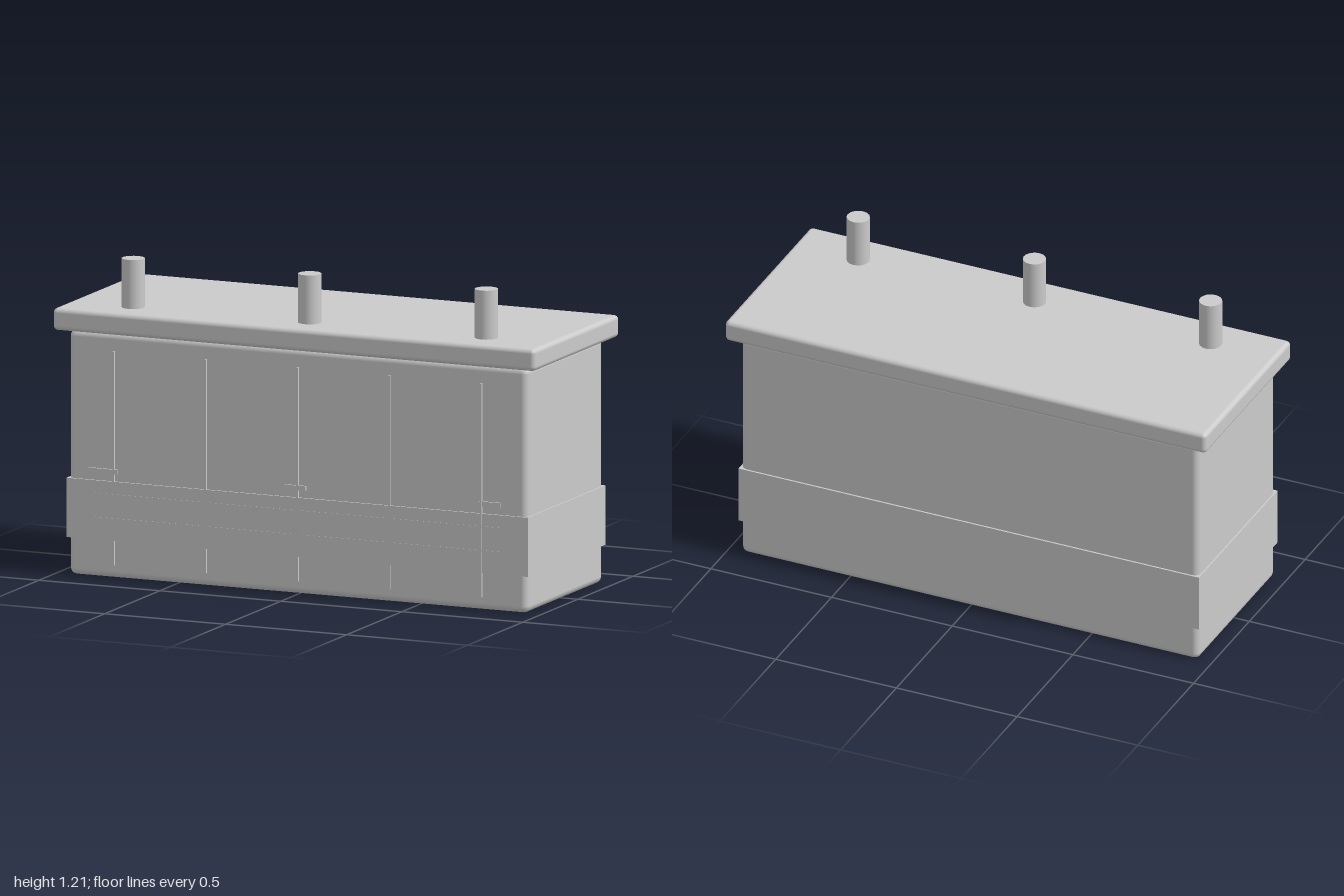
import * as THREE from 'three';
import { RoundedBoxGeometry } from 'three/addons/geometries/RoundedBoxGeometry.js';

export function createModel() {
  const group = new THREE.Group();
  const material = new THREE.MeshStandardMaterial({ color: 0xcccccc });

  const add = (name, geometry, x, y, z) => {
    const mesh = new THREE.Mesh(geometry, material);
    mesh.name = name;
    mesh.position.set(x, y, z);
    group.add(mesh);
    return mesh;
  };
  const box = (name, w, h, d, x, y, z) => add(name, new THREE.BoxGeometry(w, h, d), x, y, z);

  // Battery case and overhanging lid, both with softened edges
  add('case', new RoundedBoxGeometry(1.896, 0.94, 0.69, 2, 0.026), 0, 0.47, 0);
  add('lid', new RoundedBoxGeometry(1.994, 0.085, 0.772, 2, 0.018), 0, 0.98, 0);

  // Sharp-edged band around the lower case
  box('band', 1.908, 0.227, 0.704, 0, 0.257, 0);

  // Terminal posts along the front of the lid
  for (const x of [-0.73, 0, 0.73]) {
    add('terminalPost', new THREE.CylinderGeometry(0.044, 0.044, 0.21, 16), x, 1.105, 0.237);
  }

  // Thin vertical ribs dividing the front into cells
  for (let i = -2; i <= 2; i++) {
    box('cellRib', 0.007, 0.82, 0.02, i * 0.38, 0.46, 0.3435);
  }

  // Horizontal trim lines on the front of the band
  for (const y of [0.228, 0.32]) {
    box('bandLine', 1.67, 0.005, 0.01, 0, y, 0.3485);
  }

  // Small level tabs above the band
  for (const [x, width] of [[-0.805, 0.12], [-0.01, 0.09], [0.795, 0.09]]) {
    box('levelTab', width, 0.018, 0.02, x, 0.408, 0.3425);
  }

  return group;
}
